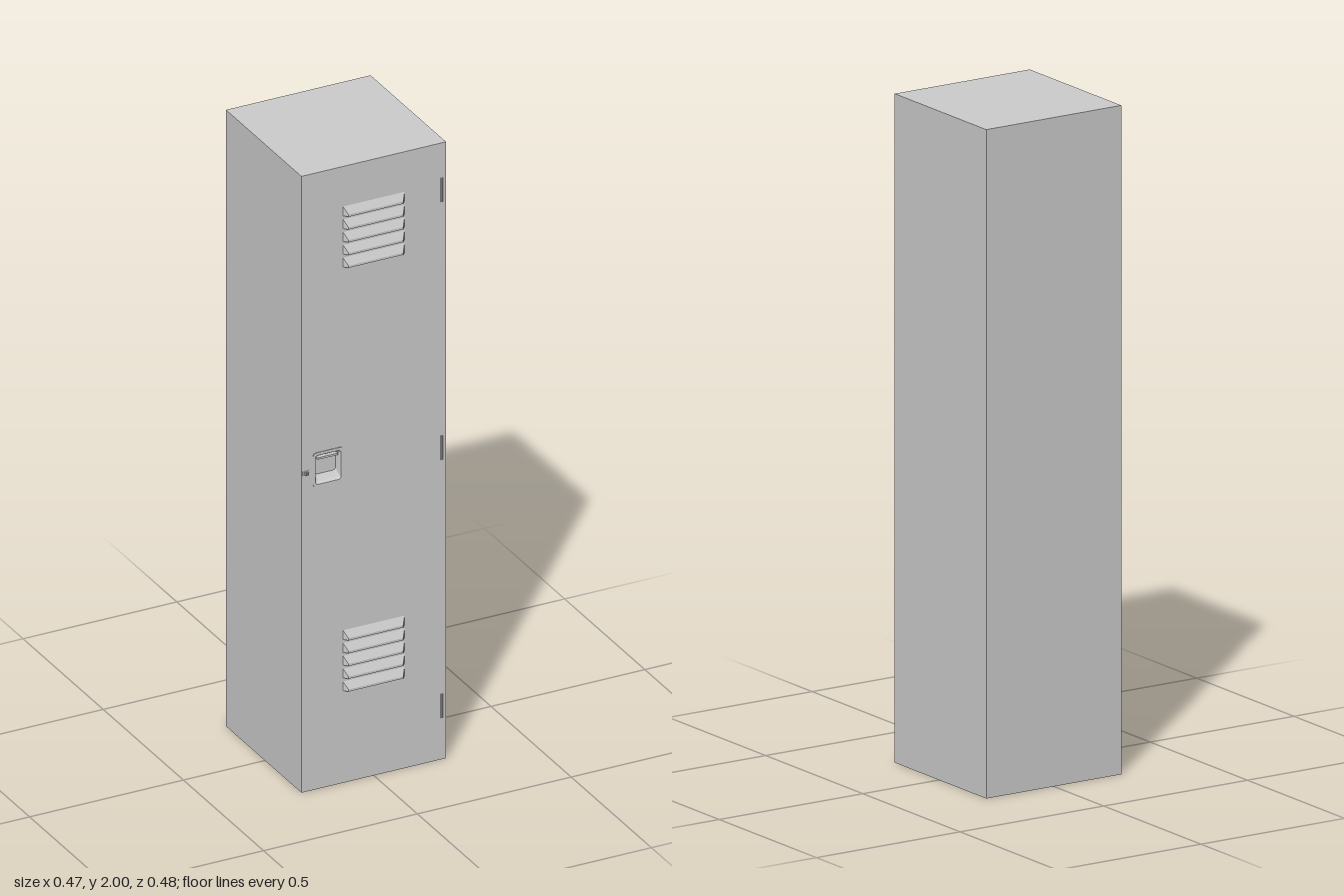
import * as THREE from 'three';

const W = 0.235, H = 2, BACK = -0.243, FRONT = 0.228;
const mat = new THREE.MeshStandardMaterial({ color: 0xcccccc, flatShading: true, side: THREE.DoubleSide });

function add(parent, name, geo, x = 0, y = 0, z = 0) {
  const mesh = new THREE.Mesh(geo, mat);
  mesh.name = name;
  mesh.position.set(x, y, z);
  parent.add(mesh);
  return mesh;
}

// Rounded rectangle outline, counter-clockwise
function roundedRect(x0, x1, y0, y1, r) {
  const pts = [];
  [[x1 - r, y0 + r], [x1 - r, y1 - r], [x0 + r, y1 - r], [x0 + r, y0 + r]].forEach(([cx, cy], i) => {
    for (let k = 0; k <= 4; k++) {
      const a = (i - 1 + k / 4) * Math.PI / 2;
      pts.push(new THREE.Vector2(cx + r * Math.cos(a), cy + r * Math.sin(a)));
    }
  });
  return pts;
}

// Skin through matching outlines, closed by a cap on the last one
function loft(rings) {
  const n = rings[0].pts.length, pos = [], idx = [];
  rings.forEach(({ pts, z }) => pts.forEach(p => pos.push(p.x, p.y, z)));
  for (let j = 0; j < rings.length - 1; j++) {
    for (let i = 0; i < n; i++) {
      const a = j * n + i, b = j * n + (i + 1) % n;
      idx.push(a, b, b + n, a, b + n, a + n);
    }
  }
  const last = (rings.length - 1) * n;
  for (let i = 1; i < n - 1; i++) idx.push(last, last + i, last + i + 1);
  const geo = new THREE.BufferGeometry();
  geo.setAttribute('position', new THREE.Float32BufferAttribute(pos, 3));
  geo.setIndex(idx);
  geo.computeVertexNormals();
  return geo;
}

// Pressed vent slat: slopes out from the top, with tapered ends
function louverGeometry() {
  const h = 0.03, d = 0.013;
  const geo = new THREE.BoxGeometry(0.2, h, d);
  const p = geo.attributes.position;
  for (let i = 0; i < p.count; i++) {
    if (p.getZ(i) > 0) {
      p.setX(i, p.getX(i) * 0.89);
      if (p.getY(i) > 0) p.setY(i, -h / 2 + 0.007);
    }
  }
  geo.translate(0, 0, d / 2);
  geo.computeVertexNormals();
  return geo;
}

export function createModel() {
  const locker = new THREE.Group();
  locker.name = 'locker';

  // Cabinet without its front face
  const cabinet = new THREE.BoxGeometry(W * 2, H, FRONT - BACK);
  const index = Array.from(cabinet.index.array);
  index.splice(24, 6);
  cabinet.setIndex(index);
  cabinet.clearGroups();
  add(locker, 'cabinet', cabinet, 0, H / 2, (FRONT + BACK) / 2);

  // Door panel with the handle opening
  const rim = roundedRect(-0.198, -0.1, 0.982, 1.092, 0.01);
  const panel = new THREE.Shape([[-W, 0], [W, 0], [W, H], [-W, H]].map(([x, y]) => new THREE.Vector2(x, y)));
  panel.holes.push(new THREE.Path(rim.slice().reverse()));
  add(locker, 'doorPanel', new THREE.ShapeGeometry(panel), 0, 0, FRONT);

  // Recessed pull with a thin raised rim and a sloping floor
  add(locker, 'handleCup', loft([
    { pts: rim, z: FRONT },
    { pts: rim, z: FRONT + 0.002 },
    { pts: roundedRect(-0.191, -0.107, 0.989, 1.083, 0.009), z: FRONT + 0.002 },
    { pts: roundedRect(-0.187, -0.111, 0.996, 1.078, 0.009), z: FRONT - 0.006 },
    { pts: roundedRect(-0.183, -0.115, 1.012, 1.074, 0.009), z: FRONT - 0.018 },
  ]));
  add(locker, 'handleLip', new THREE.BoxGeometry(0.066, 0.006, 0.016), -0.149, 1.071, FRONT - 0.008);

  // Padlock staple
  const staple = new THREE.Group();
  staple.name = 'padlockStaple';
  locker.add(staple);
  add(staple, 'staplePlate', new THREE.BoxGeometry(0.02, 0.014, 0.001), -0.221, 1.034, FRONT + 0.0005);
  for (const x of [-0.2245, -0.2175]) {
    add(staple, 'stapleProng', new THREE.BoxGeometry(0.003, 0.009, 0.01), x, 1.034, FRONT + 0.005);
  }

  // Vents, five slats each
  const louver = louverGeometry();
  for (const [name, bottom] of [['upperVent', 1.674], ['lowerVent', 0.299]]) {
    const vent = new THREE.Group();
    vent.name = name;
    locker.add(vent);
    for (let i = 0; i < 5; i++) add(vent, 'louver', louver, 0, bottom + 0.015 + i * 0.0415, FRONT);
  }

  // Hinge knuckles
  const hinge = new THREE.CylinderGeometry(0.004, 0.004, 0.077, 10);
  for (const y of [0.174, 1.012, 1.848]) add(locker, 'hinge', hinge, 0.22, y, FRONT);

  return locker;
}
